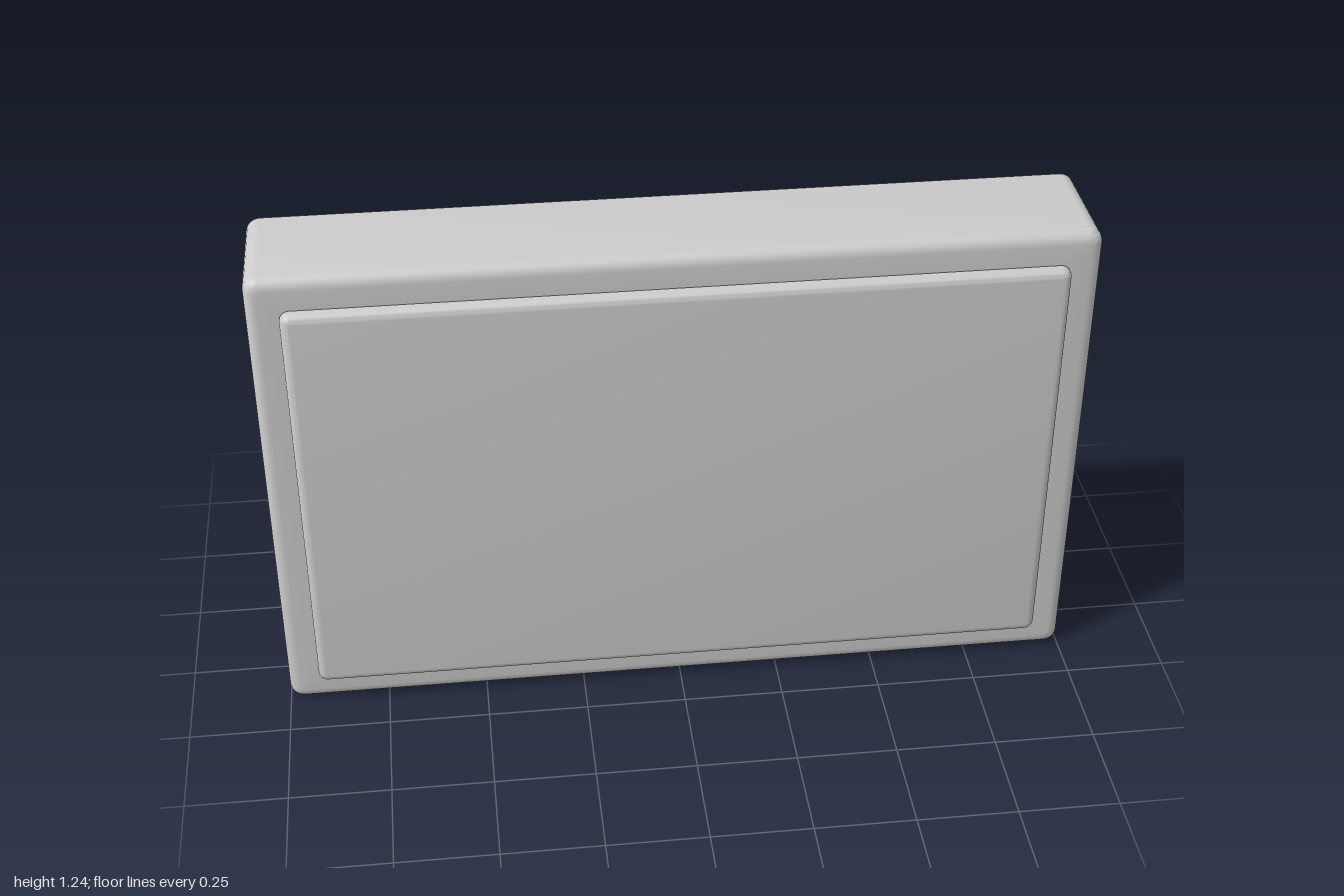
import * as THREE from 'three';
import { toCreasedNormals } from 'three/addons/utils/BufferGeometryUtils.js';

const HALF_W = 1, HALF_H = 0.6175, CORNER_STEPS = 6;

// Rounded rectangle, counter-clockwise seen from the front
function ring(halfW, halfH, radius, z) {
  const points = [];
  const signs = [[1, 1], [-1, 1], [-1, -1], [1, -1]];
  signs.forEach(([sx, sy], corner) => {
    for (let i = 0; i <= CORNER_STEPS; i++) {
      const a = (corner + i / CORNER_STEPS) * Math.PI / 2;
      points.push(sx * (halfW - radius) + radius * Math.cos(a),
        sy * (halfH - radius) + radius * Math.sin(a) + HALF_H, z);
    }
  });
  return points;
}

// Skin between successive rings
function loft(rings) {
  const n = rings[0].length / 3, index = [];
  for (let r = 0; r < rings.length - 1; r++) {
    for (let j = 0; j < n; j++) {
      const a = r * n + j, b = r * n + (j + 1) % n;
      index.push(a, b, b + n, a, b + n, a + n);
    }
  }
  const geometry = new THREE.BufferGeometry();
  geometry.setAttribute('position', new THREE.Float32BufferAttribute(rings.flat(), 3));
  geometry.setIndex(index);
  return toCreasedNormals(geometry, Math.PI / 5);
}

// Quarter round in (inset, z) space, from angle a0 to a1
function round(inset, z, radius, a0, a1, steps = 6) {
  return Array.from({ length: steps + 1 }, (_, i) => {
    const a = (a0 + (a1 - a0) * i / steps) * Math.PI / 180;
    return [inset - radius * Math.cos(a), z + radius * Math.sin(a)];
  });
}

function makePart(name, geometry) {
  const material = new THREE.MeshStandardMaterial({ color: 0xcccccc, side: THREE.DoubleSide });
  const mesh = new THREE.Mesh(geometry, material);
  mesh.name = name;
  return mesh;
}

export function createModel() {
  const group = new THREE.Group();
  group.name = 'panelHousing';

  // Thin housing shell: narrow back lip, side walls, front frame around a window
  const back = -0.172, front = 0.137, lip = 0.05, hole = 0.095;
  const housingRings = [
    [lip, back],
    ...round(0.014, back + 0.014, 0.014, -90, 0),
    ...round(0.03, front - 0.03, 0.03, 0, 90),
    [hole, front],
  ].map(([inset, z]) =>
    ring(HALF_W - inset, HALF_H - inset, Math.max(0.035 - inset, 0.02), z));
  group.add(makePart('housing', loft(housingRings)));

  // Hollow front panel standing just clear of the housing
  const edge = 0.078, panelBack = 0.143, panelFront = 0.173, soft = 0.022;
  const panelRings = [
    [edge, panelBack],
    ...round(edge + soft, panelFront - soft, soft, 0, 90),
  ].map(([inset, z]) => ring(HALF_W - inset, HALF_H - inset, Math.max(0.024 - (inset - edge), 0.004), z));
  panelRings.push(ring(0, 0, 0, panelFront));
  group.add(makePart('frontPanel', loft(panelRings)));

  return group;
}
